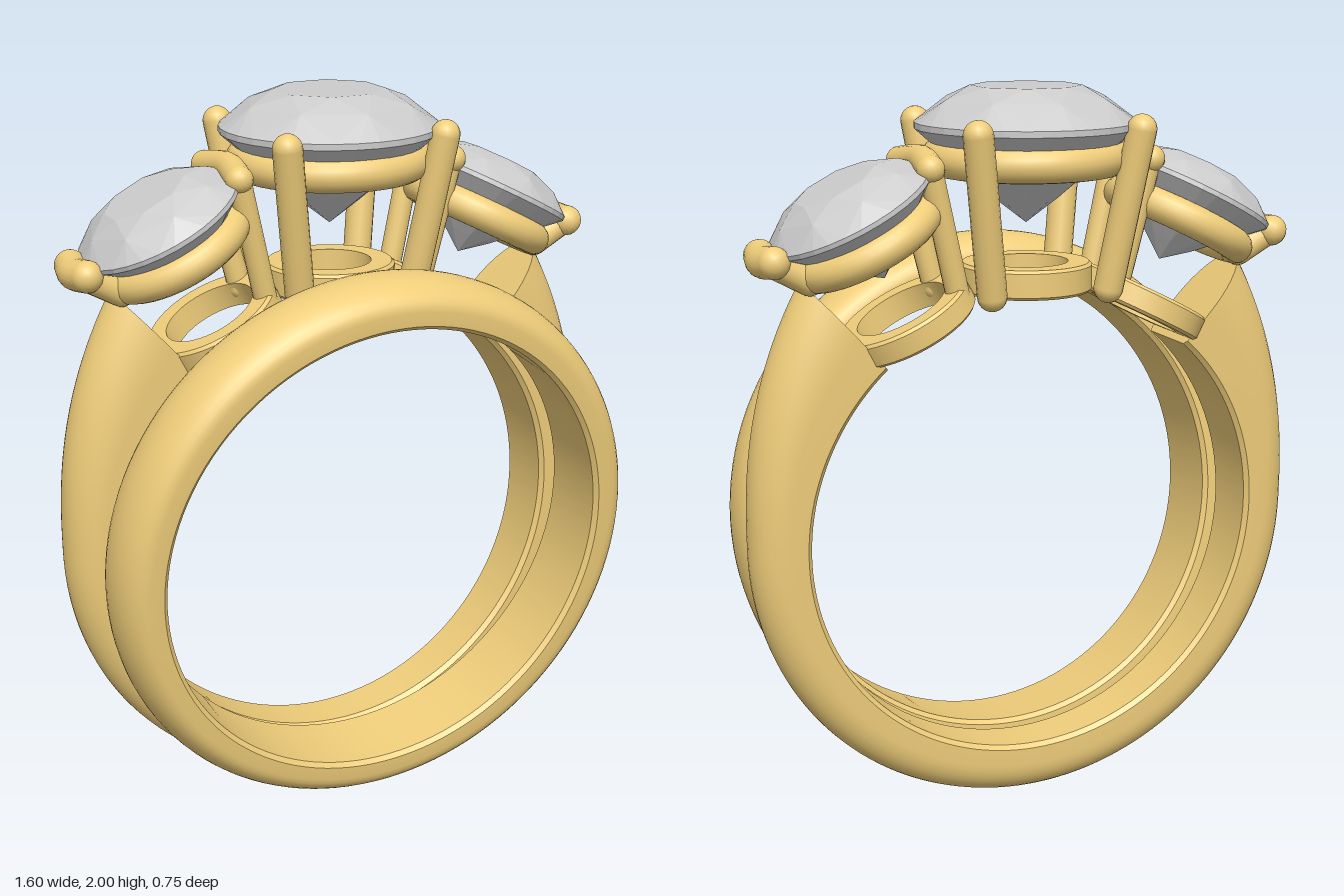
import * as THREE from 'three';
import { toCreasedNormals } from 'three/addons/utils/BufferGeometryUtils.js';
import { ConvexGeometry } from 'three/addons/geometries/ConvexGeometry.js';

const gold = new THREE.MeshStandardMaterial({ color: 0xefcd7a });
const grey = new THREE.MeshStandardMaterial({ color: 0xcccccc });
const V = (x, y, z) => new THREE.Vector3(x, y, z);
const CENTRE_Y = 0.8;   // centre of the finger hole
const INNER = 0.65;     // finger hole radius

function add(parent, name, geometry, material = gold) {
  const mesh = new THREE.Mesh(geometry, material);
  mesh.name = name;
  parent.add(mesh);
  return mesh;
}

function addGroup(parent, name) {
  const group = new THREE.Group();
  group.name = name;
  parent.add(group);
  return group;
}

// Flat inside, straight sides, domed outside: [radius, offset] counter-clockwise
function domedProfile(inner, shoulder, outer, half) {
  const e = 0.012, points = [[inner, -half + e], [inner + e, -half]];
  const steps = 16;
  for (let i = 0; i <= steps; i++) {
    const a = -Math.PI / 2 + Math.PI * i / steps;
    points.push([shoulder + (outer - shoulder) * Math.cos(a), half * Math.sin(a)]);
  }
  points.push([inner + e, half], [inner, half - e]);
  return points;
}

// Closed profile turned about y
function turned(profile, segments) {
  const pts = [...profile, profile[0]].map(([r, y]) => new THREE.Vector2(r, y));
  return toCreasedNormals(new THREE.LatheGeometry(pts, segments), 0.6);
}

// Square-section gallery ring
function galleryRing(inner, outer, y, height) {
  const h = height / 2, b = 0.008;
  return turned([[inner, y - h], [outer - b, y - h], [outer, y - h + b],
    [outer, y + h - b], [outer - b, y + h], [inner, y + h]], 48);
}

// Round rod with ball ends through the given points
function addRod(parent, name, points, radius) {
  const rod = addGroup(parent, name);
  const curve = new THREE.CatmullRomCurve3(points);
  add(rod, name + 'Shaft', new THREE.TubeGeometry(curve, points.length > 2 ? 16 : 1, radius, 16));
  for (const p of [points[0], points[points.length - 1]]) {
    add(rod, name + 'Tip', new THREE.SphereGeometry(radius, 16, 12)).position.copy(p);
  }
}

function addSeat(parent, radius, thickness, y) {
  const geometry = new THREE.TorusGeometry(radius, thickness, 16, 56).rotateX(Math.PI / 2);
  add(parent, 'seatRing', geometry).position.y = y;
}

// Round brilliant with its girdle at y = 0
function brilliant(R) {
  const points = [V(0, -0.87 * R, 0)];
  const ring = (n, r, y, turn) => {
    for (let i = 0; i < n; i++) {
      const a = (i + turn) / n * Math.PI * 2;
      points.push(V(Math.cos(a) * r * R, y * R, Math.sin(a) * r * R));
    }
  };
  ring(8, 0.5, 0.35, 0.5);     // table
  ring(8, 0.77, 0.235, 0);     // star and kite corners
  ring(32, 1, 0.035, 0);       // girdle
  ring(32, 1, -0.02, 0);
  ring(8, 0.3, -0.64, 0.5);    // pavilion
  return new ConvexGeometry(points);
}

// Shank: domed section swept round the finger, growing towards the shoulders
function shankGeometry() {
  const end = THREE.MathUtils.degToRad(138), steps = 120;
  const pos = [], index = [];
  let count = 0;
  for (let s = 0; s <= steps; s++) {
    const t = -end + 2 * end * s / steps;
    const rise = Math.max(0, (Math.abs(t) - Math.PI / 2) / (end - Math.PI / 2));
    const outer = 0.8 + 0.155 * rise ** 1.7;
    const half = 0.075 + 0.035 * (1 - Math.cos(t)) / 1.743;
    const section = domedProfile(INNER, INNER + (outer - INNER) * 0.4, outer, half);
    count = section.length;
    for (const [r, z] of section) pos.push(Math.sin(t) * r, -Math.cos(t) * r, z);
  }
  for (let s = 0; s < steps; s++) {
    for (let i = 0; i < count; i++) {
      const j = (i + 1) % count, a = s * count, b = a + count;
      index.push(a + i, b + i, b + j, a + i, b + j, a + j);
    }
  }
  const last = steps * count;
  for (let i = 1; i < count - 1; i++) {
    index.push(0, i, i + 1, last, last + i + 1, last + i);
  }
  const geometry = new THREE.BufferGeometry();
  geometry.setAttribute('position', new THREE.Float32BufferAttribute(pos, 3));
  geometry.setIndex(index);
  return toCreasedNormals(geometry, 0.6);
}

function addCentreSetting(parent) {
  const setting = addGroup(parent, 'centreSetting');
  add(setting, 'centreStone', brilliant(0.3), grey).position.y = 1.895;
  addSeat(setting, 0.235, 0.047, 1.812);
  add(setting, 'centreGalleryRing', galleryRing(0.115, 0.18, 1.49, 0.08));
  for (const x of [-1, 1]) {
    for (const z of [-1, 1]) {
      addRod(setting, 'centreProng',
        [V(x * 0.168, 1.47, z * 0.168), V(x * 0.23, 1.895, z * 0.23)], 0.04);
    }
  }
}

// Side setting on +x, tilted outwards; its origin is the stone's girdle centre
function addSideSetting(parent) {
  const setting = addGroup(parent, 'sideSetting');
  setting.position.set(0.5, 1.69, 0);
  setting.rotation.z = -0.48;
  add(setting, 'sideStone', brilliant(0.235), grey);
  addSeat(setting, 0.18, 0.045, -0.085);
  add(setting, 'sideGalleryRing', galleryRing(0.13, 0.19, -0.335, 0.07));
  // Bar prongs over the outer and inner edges
  addRod(setting, 'outerBarProng',
    [V(0.25, 0.005, -0.065), V(0.263, 0.005, 0), V(0.25, 0.005, 0.065)], 0.043);
  addRod(setting, 'innerBarProng',
    [V(-0.215, 0.015, -0.115), V(-0.235, 0.02, 0), V(-0.215, 0.015, 0.115)], 0.038);
  for (const z of [-1, 1]) {
    addRod(setting, 'outerBarSupport', [V(0.25, 0, z * 0.05), V(0.19, -0.09, z * 0.05)], 0.038);
    addRod(setting, 'innerPost', [V(-0.215, 0.01, z * 0.11), V(-0.13, -0.33, z * 0.09)], 0.032);
  }
}

export function createModel() {
  const model = new THREE.Group();
  model.name = 'ringSet';

  // Plain band leaning forward
  const band = add(model, 'plainBand',
    turned(domedProfile(INNER, 0.7, 0.77, 0.117), 120).rotateX(Math.PI / 2));
  band.position.set(0, CENTRE_Y, 0.19);
  band.rotation.x = 0.094;

  // Three-stone ring behind it
  const ring = addGroup(model, 'threeStoneRing');
  ring.position.z = -0.08;
  add(ring, 'shank', shankGeometry()).position.y = CENTRE_Y;
  addCentreSetting(ring);
  for (const side of [0, 1]) {
    const half = addGroup(ring, side ? 'rightSide' : 'leftSide');
    half.rotation.y = side * Math.PI;
    addSideSetting(half);
  }
  return model;
}
